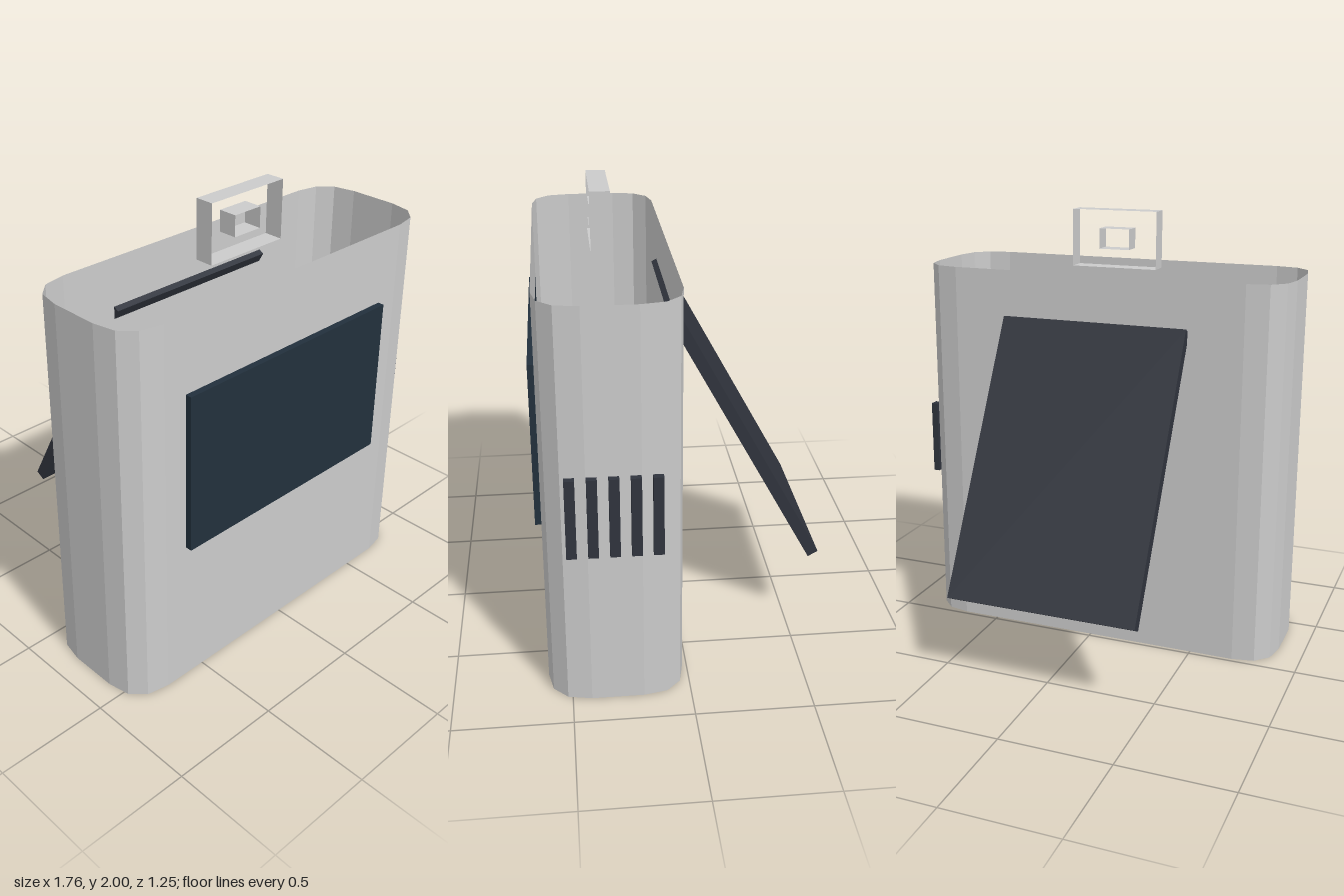
import * as THREE from 'three';

const paint = (color, extra = {}) =>
  new THREE.MeshStandardMaterial({ color, ...extra });

// Open, thin-walled tube: a closed outline swept along z without end caps
function openTube(outline, depth) {
  const pos = [], index = [], n = outline.length;
  outline.forEach((p) => pos.push(p.x, p.y, 0, p.x, p.y, depth));
  for (let i = 0; i < n; i++) {
    const a = 2 * i, b = 2 * ((i + 1) % n);
    index.push(a, b, b + 1, a, b + 1, a + 1);
  }
  const geo = new THREE.BufferGeometry();
  geo.setAttribute('position', new THREE.Float32BufferAttribute(pos, 3));
  geo.setIndex(index);
  const flat = geo.toNonIndexed();
  flat.computeVertexNormals();
  return flat;
}

// Counter-clockwise rectangle outline; corners are curves of three segments
function roundedOutline(w, h, r) {
  const x = w / 2, y = h / 2;
  const s = new THREE.Shape();
  s.moveTo(-x + r, -y);
  s.lineTo(x - r, -y);
  s.quadraticCurveTo(x, -y, x, -y + r);
  s.lineTo(x, y - r);
  s.quadraticCurveTo(x, y, x - r, y);
  s.lineTo(-x + r, y);
  s.quadraticCurveTo(-x, y, -x, y - r);
  s.lineTo(-x, -y + r);
  s.quadraticCurveTo(-x, -y, -x + r, -y);
  return s.getPoints(3).slice(0, -1);
}

function rectOutline(w, h) {
  const x = w / 2, y = h / 2;
  return [[-x, -y], [x, -y], [x, y], [-x, y]].map(([a, b]) => new THREE.Vector2(a, b));
}

export function createModel() {
  const model = new THREE.Group();
  const grey = paint(0xcccccc, { side: THREE.DoubleSide, flatShading: true });
  const glass = paint(0x22303c);
  const dark = paint(0x30343d);

  const add = (name, geo, mat, x, y, z, parent = model) => {
    const mesh = new THREE.Mesh(geo, mat);
    mesh.name = name;
    mesh.position.set(x, y, z);
    parent.add(mesh);
    return mesh;
  };

  // Casing shell, open at top and bottom
  const shell = openTube(roundedOutline(1.735, 0.58, 0.18), 1.74);
  shell.rotateX(-Math.PI / 2);
  add('casing', shell, grey, -0.014, 0, 0.31);

  // Front screen
  add('screen', new THREE.BoxGeometry(1.16, 0.72, 0.03), glass, -0.014, 1.045, 0.614);

  // Side vents
  const vents = new THREE.Group();
  vents.name = 'vents';
  model.add(vents);
  for (let i = 0; i < 5; i++) {
    add('vent', new THREE.BoxGeometry(0.03, 0.345, 0.042), dark, 0.867, 0.872, 0.136 + i * 0.087, vents);
  }

  // Top handle: two nested open frames
  const handle = new THREE.Group();
  handle.name = 'handle';
  model.add(handle);
  add('outerFrame', openTube(rectOutline(0.405, 0.26), 0.085), grey, -0.016, 1.87, 0.267, handle);
  add('innerFrame', openTube(rectOutline(0.145, 0.093), 0.085), grey, -0.016, 1.87, 0.267, handle);

  // Rear stand, leaning away from the casing
  const stand = add('stand', new THREE.BoxGeometry(0.87, 1.3, 0.05), dark, -0.015, 0.95, -0.29);
  stand.rotation.x = 0.5;

  return model;
}
